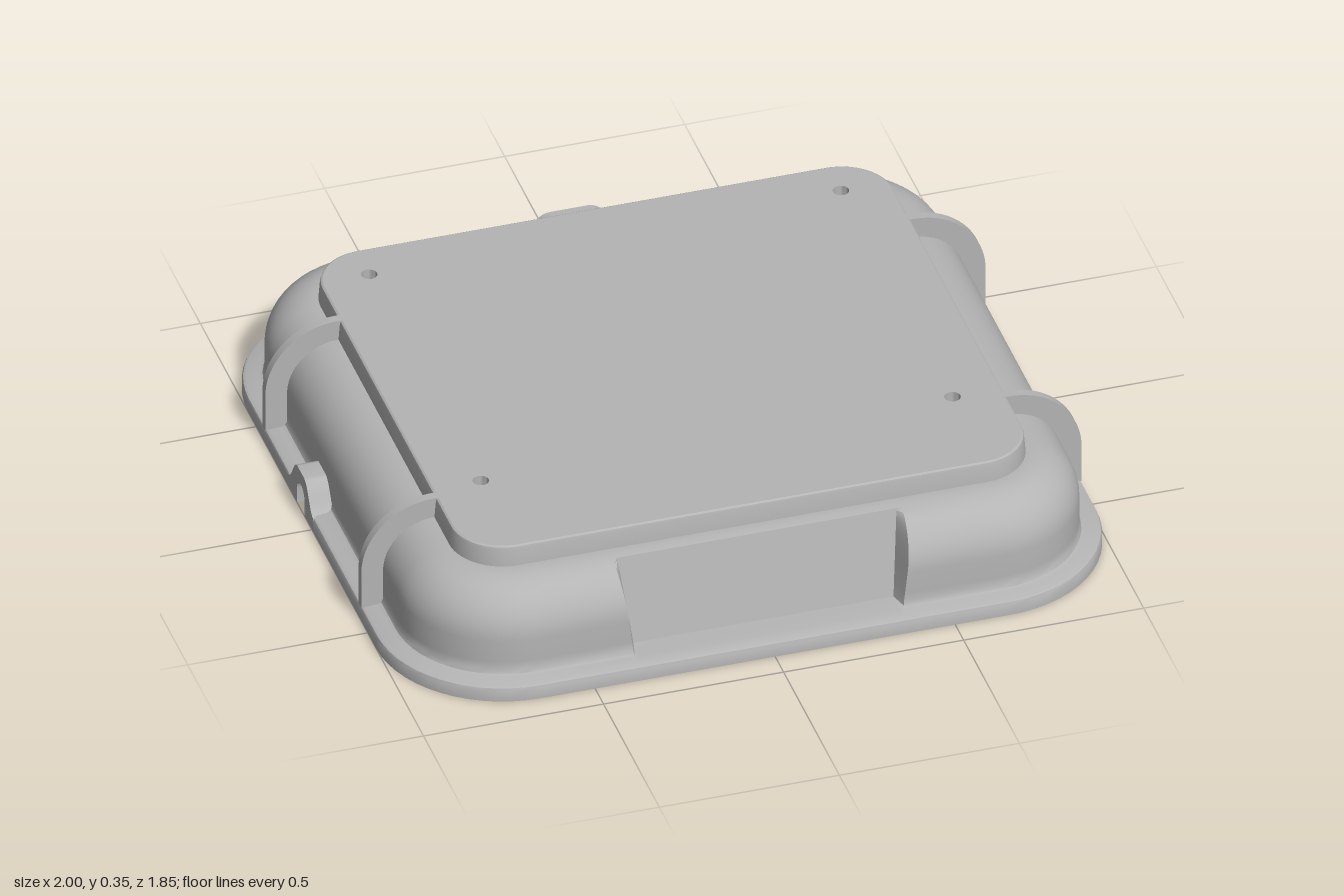
import * as THREE from 'three';
import { toCreasedNormals } from 'three/addons/utils/BufferGeometryUtils.js';

const CORE_X = 0.65, CORE_Z = 0.575; // every outline is this rectangle offset outward

// Columns around the shell: a base point and an outward direction
function makeColumns() {
  const cols = [];
  const add = (x, z, nx, nz, extra) => cols.push({ x, z, nx, nz, ...extra });
  const corner = (sx, sz, start) => {
    for (let i = 0; i <= 14; i++) {
      const a = start - (i / 14) * Math.PI / 2;
      add(sx * CORE_X, sz * CORE_Z, Math.cos(a), Math.sin(a));
    }
  };
  // front edge, with column pairs for the sides of the recess
  add(0, CORE_Z, 0, 1, { side: -1, inset: 0 });
  add(0, CORE_Z, 0, 1, { side: -1, inset: 0.014 });
  add(0, CORE_Z, 0, 1, { side: 1, inset: 0.014 });
  add(0, CORE_Z, 0, 1, { side: 1, inset: 0 });
  corner(1, 1, Math.PI / 2);
  corner(1, -1, 0);
  for (const x of [0.05, -0.05]) add(x, -CORE_Z, 0, -1);
  corner(-1, -1, -Math.PI / 2);
  for (const z of [-0.14, -0.06]) add(-CORE_X, z, -1, 0);
  corner(-1, 1, -Math.PI);
  return cols;
}
const columns = makeColumns();

// One outline at offset d and height y; t is the wall thickness for the inner skin
function ring(d, y, t) {
  return columns.map((c) => {
    let x = c.x + c.nx * d, z = c.z + c.nz * d;
    if (c.side) {
      const k = (y - 0.05) / 0.24;
      x = c.side * (0.375 + 0.027 * k + t - c.inset);
      if (c.inset && y >= 0.049 && y < 0.3) z = Math.min(z, 0.82 - 0.06 * k - t);
    }
    return new THREE.Vector3(x, y, z);
  });
}

// Openings in the wall behind the two humps
function isOpen(p) {
  const back = p.z < -0.8 && Math.abs(p.x) < 0.04 && p.y > 0.085 && p.y < 0.178;
  const left = p.x < -0.88 && Math.abs(p.z + 0.1) < 0.035 && p.y < 0.085;
  return back || left;
}

function loft(profile, t) {
  const rings = profile.map(([d, y]) => ring(d, y, t));
  const n = columns.length, pos = [];
  for (let i = 0; i < rings.length - 1; i++) {
    for (let j = 0; j < n; j++) {
      const k = (j + 1) % n;
      const a = rings[i][j], b = rings[i][k], c = rings[i + 1][k], d = rings[i + 1][j];
      const mid = a.clone().add(b).add(c).add(d).multiplyScalar(0.25);
      if (isOpen(mid)) continue;
      for (const v of [a, b, c, a, c, d]) pos.push(v.x, v.y, v.z);
    }
  }
  const g = new THREE.BufferGeometry();
  g.setAttribute('position', new THREE.Float32BufferAttribute(pos, 3));
  return toCreasedNormals(g, 0.6);
}

const arc = (cd, cy, rd, ry) => Array.from({ length: 13 }, (_, i) => {
  const a = (i / 12) * Math.PI / 2;
  return [cd + rd * Math.cos(a), cy + ry * Math.sin(a)];
});

const screwHoles = [[-0.655, -0.6], [0.655, -0.6], [-0.655, 0.4], [0.655, 0.4]];

// Flat panel with four screw holes, facing up (dir 1) or down (dir -1)
function panel(d, y, t, dir) {
  const s = new THREE.Shape(ring(d, y, t).map((p) => new THREE.Vector2(p.x, -dir * p.z)));
  for (const [x, z] of screwHoles) {
    s.holes.push(new THREE.Path().absarc(x, -dir * z, 0.022, 0, Math.PI * 2, true));
  }
  return new THREE.ShapeGeometry(s, 12).rotateX(-dir * Math.PI / 2).translate(0, y, 0);
}

// Bell-shaped outline standing on y = 0, optionally with a U-shaped cut from below
function hump(w, top, cut) {
  const s = new THREE.Shape();
  s.moveTo(w, 0);
  s.lineTo(w, 0.042);
  s.bezierCurveTo(w * 0.7, 0.045, w * 0.6, top, w * 0.25, top);
  s.lineTo(-w * 0.25, top);
  s.bezierCurveTo(-w * 0.6, top, -w * 0.7, 0.045, -w, 0.042);
  s.lineTo(-w, 0);
  if (cut) {
    s.lineTo(-cut, 0);
    s.absarc(0, 0.045, cut, Math.PI, 0, true);
    s.lineTo(cut, 0);
  }
  return s;
}

const extrude = (shape, depth) => toCreasedNormals(
  new THREE.ExtrudeGeometry(shape, { depth, bevelEnabled: false, curveSegments: 16 }), 0.6);

const lathe = (pts, segments) => toCreasedNormals(
  new THREE.LatheGeometry(pts.map(([r, y]) => new THREE.Vector2(r, y)), segments), 0.6);

export function createModel() {
  const group = new THREE.Group();
  const grey = new THREE.MeshStandardMaterial({ color: 0xb4b4b4, side: THREE.DoubleSide });
  grey.name = 'grey';
  const add = (name, geometry, x = 0, y = 0, z = 0) => {
    const m = new THREE.Mesh(geometry, grey);
    m.name = name;
    m.position.set(x, y, z);
    group.add(m);
    return m;
  };

  // Outer skin: flange, rounded wall and raised plate edge
  add('outerShell', loft([
    [0.32, 0], [0.35, 0], [0.35, 0.033], [0.347, 0.04], [0.34, 0.044], [0.305, 0.046],
    [0.295, 0.05], [0.29, 0.06], [0.29, 0.085],
    ...arc(0.15, 0.15, 0.14, 0.145),
    [0.147, 0.295], [0.143, 0.345], [0.141, 0.352], [0.136, 0.355],
  ], 0));
  add('topPlate', panel(0.136, 0.355, 0, 1));

  // Inner skin: ceiling edge, rounded wall and lip
  add('innerShell', loft([
    [0.12, 0.33], [0.125, 0.27],
    ...arc(0.125, 0.13, 0.14, 0.14).reverse(),
    [0.265, 0.085], [0.265, 0.05], [0.27, 0.03], [0.32, 0.03], [0.32, 0],
  ], 0.025));
  add('ceiling', panel(0.12, 0.33, 0.025, -1));

  // Screw hole sleeves through the plate
  const sleeve = lathe([[0.022, 0.355], [0.022, 0.318], [0.036, 0.318], [0.036, 0.331]], 24);
  for (const [x, z] of screwHoles) add('screwSleeve', sleeve, x, 0, z);

  // Hollow corner posts inside the shell
  const post = lathe([[0, 0.1], [0.018, 0.1], [0.018, 0.02], [0.045, 0.02], [0.045, 0.25]], 24);
  for (const x of [-0.79, 0.79]) {
    for (const z of [-0.72, 0.72]) add('cornerPost', post, x, 0, z);
  }

  // Curved strap ribs on both sides
  const rib = new THREE.Shape();
  rib.moveTo(0.782, 0.29);
  rib.lineTo(0.782, 0.355);
  rib.lineTo(0.8, 0.355);
  rib.absarc(0.8, 0.155, 0.2, Math.PI / 2, 0, true);
  rib.lineTo(1, 0.04);
  rib.lineTo(0.93, 0.04);
  rib.lineTo(0.93, 0.15);
  rib.absarc(0.79, 0.15, 0.14, 0, Math.PI / 2, false);
  const ribGeometry = extrude(rib, 0.026).translate(0, 0, -0.013);
  for (const z of [-0.43, 0.43]) {
    add('leftRib', ribGeometry, 0, 0, z);
    add('rightRib', ribGeometry, 0, 0, z).rotation.y = Math.PI;
  }

  // Rear socket: hexagonal pocket in front of a round hole
  const pocket = hump(0.21, 0.215);
  const hex = new THREE.Path();
  for (let i = 0; i < 6; i++) {
    const a = -(i / 6) * Math.PI * 2;
    hex[i ? 'lineTo' : 'moveTo'](0.062 * Math.cos(a), 0.135 + 0.062 * Math.sin(a));
  }
  hex.closePath();
  pocket.holes.push(hex);
  add('rearSocketFace', extrude(pocket, 0.03), 0, 0, -0.925);
  const socket = hump(0.21, 0.215);
  socket.holes.push(new THREE.Path().absarc(0, 0.132, 0.042, 0, Math.PI * 2, true));
  add('rearSocketBase', extrude(socket, 0.06), 0, 0, -0.895);

  // Cable notch on the right side
  add('cableNotch', extrude(hump(0.11, 0.12, 0.035), 0.09), -1, 0, -0.1).rotation.y = Math.PI / 2;

  return group;
}
